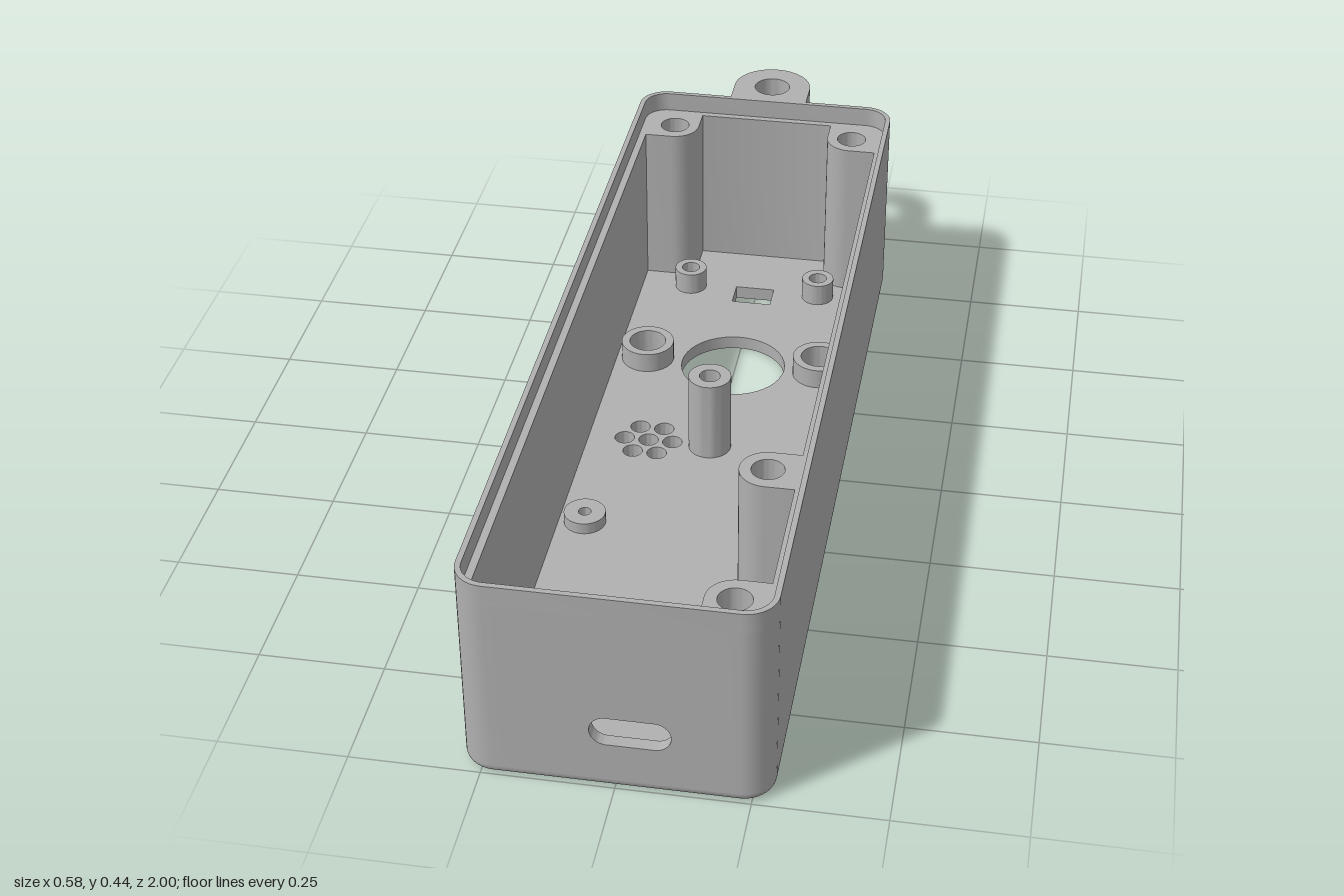
import * as THREE from 'three';
import { toCreasedNormals, mergeVertices } from 'three/addons/utils/BufferGeometryUtils.js';

// Plan shapes use (x, v) with v = -z
const HX = 0.288, HV = 0.925, CV = -0.075, R = 0.06;
const WALL = 0.026, LIP = 0.011, FILLET = 0.02, FLOOR = 0.03, LEDGE = 0.395, TOP = 0.437;

// Rounded rectangle outline, counter-clockwise, starting at the front right corner
function outline(inset, r) {
  const pts = [], hx = HX - inset, hv = HV - inset;
  [[1, -1, -90], [1, 1, 0], [-1, 1, 90], [-1, -1, 180]].forEach(([sx, sv, a0]) => {
    for (let i = 0; i <= 10; i++) {
      const a = THREE.MathUtils.degToRad(a0 + i * 9);
      pts.push(new THREE.Vector2(sx * (hx - r) + r * Math.cos(a), CV + sv * (hv - r) + r * Math.sin(a)));
    }
  });
  return pts;
}

function circle(x, v, r) {
  return new THREE.Path().absarc(x, v, r, 0, Math.PI * 2, false);
}

export function createModel() {
  const model = new THREE.Group();
  model.name = 'enclosure';
  const grey = new THREE.MeshStandardMaterial({ color: 0xb0b0b0 });
  grey.name = 'grey plastic';

  const add = (name, geo) => {
    const mesh = new THREE.Mesh(geo, grey);
    mesh.name = name;
    model.add(mesh);
    return mesh;
  };
  const extrude = (shape, depth) => toCreasedNormals(
    new THREE.ExtrudeGeometry(shape, { depth, bevelEnabled: false, curveSegments: 20 }), 0.6);
  const slab = (name, shape, y0, y1) => {
    const geo = extrude(shape, y1 - y0);
    geo.rotateX(-Math.PI / 2).translate(0, y0, 0);
    return add(name, geo);
  };

  // Floor with speaker, sensor and screw openings
  const floor = new THREE.Shape(outline(FILLET, R - FILLET));
  floor.holes.push(circle(0, 0.35, 0.115), circle(-0.193, 0.35, 0.04), circle(0.193, 0.35, 0.04));
  floor.holes.push(new THREE.Path([[-0.044, 0.613], [0.044, 0.613], [0.044, 0.677], [-0.044, 0.677]]
    .map(([x, v]) => new THREE.Vector2(x, v))));
  floor.holes.push(circle(-0.133, 0.037, 0.021));
  for (let i = 0; i < 6; i++) {
    const a = i * Math.PI / 3;
    floor.holes.push(circle(-0.133 + 0.052 * Math.cos(a), 0.037 + 0.052 * Math.sin(a), 0.021));
  }
  slab('floor', floor, 0, FLOOR);

  // Rounded lower edge, lofted from insetting outlines
  const pos = [], index = [], steps = 8;
  let n = 0;
  for (let s = 0; s <= steps; s++) {
    const a = s / steps * Math.PI / 2;
    const inset = FILLET * (1 - Math.sin(a));
    const ring = outline(inset, R - inset);
    n = ring.length;
    ring.forEach(p => pos.push(p.x, FILLET * (1 - Math.cos(a)), -p.y));
  }
  for (let s = 0; s < steps; s++) {
    for (let i = 0; i < n; i++) {
      const a = s * n + i, b = s * n + (i + 1) % n;
      index.push(a, b, b + n, a, b + n, a + n);
    }
  }
  const edge = new THREE.BufferGeometry();
  edge.setAttribute('position', new THREE.Float32BufferAttribute(pos, 3));
  edge.setIndex(index);
  const edgeGeo = mergeVertices(edge);
  edgeGeo.computeVertexNormals();
  add('lowerEdge', edgeGeo);

  // Side and back walls, open across the middle of the front
  const gap = 0.2, front = CV - HV;
  const inner = outline(WALL, 0.006);
  slab('sideWalls', new THREE.Shape([
    new THREE.Vector2(gap, front), ...outline(0, R), new THREE.Vector2(-gap, front),
    new THREE.Vector2(-gap, front + WALL), ...inner.reverse(), new THREE.Vector2(gap, front + WALL),
  ]), FILLET, LEDGE);

  // Front panel with the connector slot
  const panel = new THREE.Shape();
  panel.moveTo(-gap, FILLET).lineTo(gap, FILLET).lineTo(gap, LEDGE).lineTo(-gap, LEDGE).closePath();
  const slot = new THREE.Path(), sr = 0.031, sy = 0.134;
  slot.absarc(0.105 - sr, sy, sr, -Math.PI / 2, Math.PI / 2, false);
  slot.absarc(-0.045 + sr, sy, sr, Math.PI / 2, Math.PI * 1.5, false);
  slot.closePath();
  panel.holes.push(slot);
  add('frontPanel', extrude(panel, WALL).translate(0, 0, -front - WALL));

  // Thin lip above the ledge
  const lip = new THREE.Shape(outline(0, R));
  lip.holes.push(new THREE.Path(outline(LIP, R - LIP)));
  slab('lip', lip, LEDGE, TOP);

  // Tall screw bosses joined to the walls
  const br = 0.055, bx = 0.204, wallX = HX - 0.018;
  const boss = (name, pts, x, v) => {
    const shape = new THREE.Shape(pts.map(p => new THREE.Vector2(p[0], p[1])));
    shape.holes.push(circle(x, v, 0.032));
    slab(name, shape, FLOOR - 0.005, LEDGE);
  };
  const cornerBoss = (name, sx, sv, v) => {
    const x = sx * bx, vw = CV + sv * (HV - 0.018);
    const pts = [[sx * wallX, vw], [x - sx * br, vw]];
    for (let i = 0; i <= 10; i++) {
      const a = i / 20 * Math.PI;
      pts.push([x - sx * br * Math.cos(a), v - sv * br * Math.sin(a)]);
    }
    pts.push([sx * wallX, v - sv * br]);
    boss(name, pts, x, v);
  };
  cornerBoss('backLeftBoss', 1, 1, 0.769);
  cornerBoss('backRightBoss', -1, 1, 0.769);
  cornerBoss('frontLeftBoss', 1, -1, -0.911);
  const sidePts = [[wallX, -0.522 + br]];
  for (let i = 0; i <= 20; i++) {
    const a = Math.PI / 2 + i / 20 * Math.PI;
    sidePts.push([bx + br * Math.cos(a), -0.522 + br * Math.sin(a)]);
  }
  sidePts.push([wallX, -0.522 - br]);
  boss('sideBoss', sidePts, bx, -0.522);

  // Round standoffs on the floor: x, v, outer radius, hole radius, top height
  [
    ['sensorPost', -0.15, 0.666, 0.036, 0.02, 0.08],
    ['sensorPost', 0.148, 0.666, 0.036, 0.02, 0.08],
    ['holeCollar', -0.193, 0.35, 0.058, 0.04, 0.075],
    ['holeCollar', 0.193, 0.35, 0.058, 0.04, 0.075],
    ['centrePost', 0, 0.037, 0.045, 0.022, 0.21],
    ['boardPost', -0.208, -0.267, 0.043, 0.013, 0.055],
    ['boardPost', 0.103, -0.832, 0.043, 0.013, 0.055],
  ].forEach(([name, x, v, ro, ri, top]) => {
    const shape = new THREE.Shape();
    shape.absarc(x, v, ro, 0, Math.PI * 2, false);
    shape.holes.push(circle(x, v, ri));
    slab(name, shape, FLOOR - 0.002, top);
  });

  // Hanging tab at the back
  const tab = new THREE.Shape(), tr = 0.0875, tv = 1 - tr, root = 0.845;
  tab.moveTo(-tr, root).lineTo(tr, root);
  tab.absarc(0, tv, tr, 0, Math.PI, false);
  tab.closePath();
  tab.holes.push(circle(0, tv, 0.04));
  slab('hangingTab', tab, LEDGE, TOP);

  // Small indicator dome on the back wall
  add('indicatorDome', new THREE.SphereGeometry(0.022, 24, 16)).position.set(0.155, 0.083, -0.845);

  return model;
}
